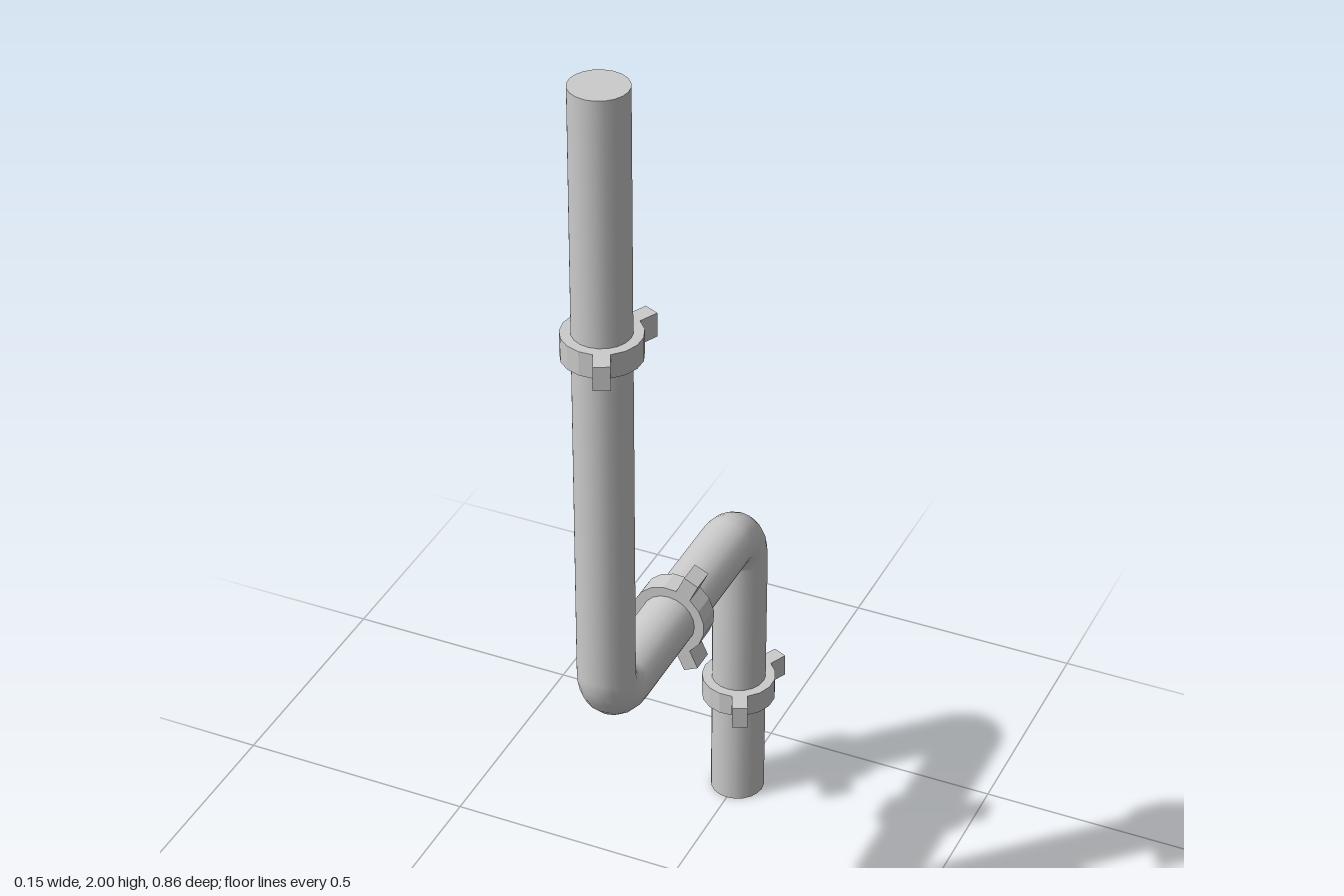
import * as THREE from 'three';

const R = 0.0565;       // pipe radius
const BEND = 0.077;     // bend radius on the pipe axis
const Z = 0.318;        // offset of the two upright runs
const MID = 0.67;       // height of the level run
const SIDES = 20;

export function createModel() {
  const group = new THREE.Group();
  const material = new THREE.MeshStandardMaterial({ color: 0xcccccc });

  const add = (name, geometry, y, z) => {
    const mesh = new THREE.Mesh(geometry, material);
    mesh.name = name;
    mesh.position.set(0, y, z);
    group.add(mesh);
  };

  // Upright runs and the level run between them
  const upright = (name, y0, y1, z) =>
    add(name, new THREE.CylinderGeometry(R, R, y1 - y0, SIDES), (y0 + y1) / 2, z);
  upright('upperPipe', MID + BEND, 2, Z);
  upright('lowerPipe', 0, MID - BEND, -Z);
  add('levelPipe', new THREE.CylinderGeometry(R, R, 2 * (Z - BEND), SIDES).rotateX(Math.PI / 2), MID, 0);

  // Quarter-turn elbows in the y-z plane
  const elbow = (name, turn, y, z) =>
    add(name, new THREE.TorusGeometry(BEND, R, SIDES, 7, Math.PI / 2).rotateZ(turn).rotateY(-Math.PI / 2), y, z);
  elbow('upperElbow', -Math.PI / 2, MID + BEND, Z - BEND);
  elbow('lowerElbow', Math.PI / 2, MID - BEND, BEND - Z);

  // Clamp: a ring with two lugs splayed to the +x side
  const ringR = 0.077, lugR = 0.116, lugHalf = 0.016, lugAngle = THREE.MathUtils.degToRad(65);
  const rootHalf = Math.asin(lugHalf / ringR);
  const points = [];
  const arc = (from, to, steps) => {
    for (let i = 0; i <= steps; i++) {
      const a = from + (to - from) * i / steps;
      points.push(new THREE.Vector2(Math.cos(a) * ringR, Math.sin(a) * ringR));
    }
  };
  const lug = (angle) => {
    for (const side of [-lugHalf, lugHalf])
      points.push(new THREE.Vector2(lugR, side).rotateAround(new THREE.Vector2(), angle));
  };
  arc(-lugAngle + rootHalf, lugAngle - rootHalf, 5);
  lug(lugAngle);
  arc(lugAngle + rootHalf, 2 * Math.PI - lugAngle - rootHalf, 10);
  lug(-lugAngle);

  const outline = new THREE.Shape(points);
  outline.holes.push(new THREE.Path().absarc(0, 0, R - 0.002, 0, 2 * Math.PI, true));
  const clamp = () => new THREE.ExtrudeGeometry(outline, { depth: 0.05, bevelEnabled: false, curveSegments: 10 })
    .translate(0, 0, -0.025);

  add('upperClamp', clamp().rotateX(-Math.PI / 2), 1.477, Z);
  add('middleClamp', clamp(), MID, 0.011);
  add('lowerClamp', clamp().rotateX(-Math.PI / 2), 0.264, -Z);

  return group;
}
